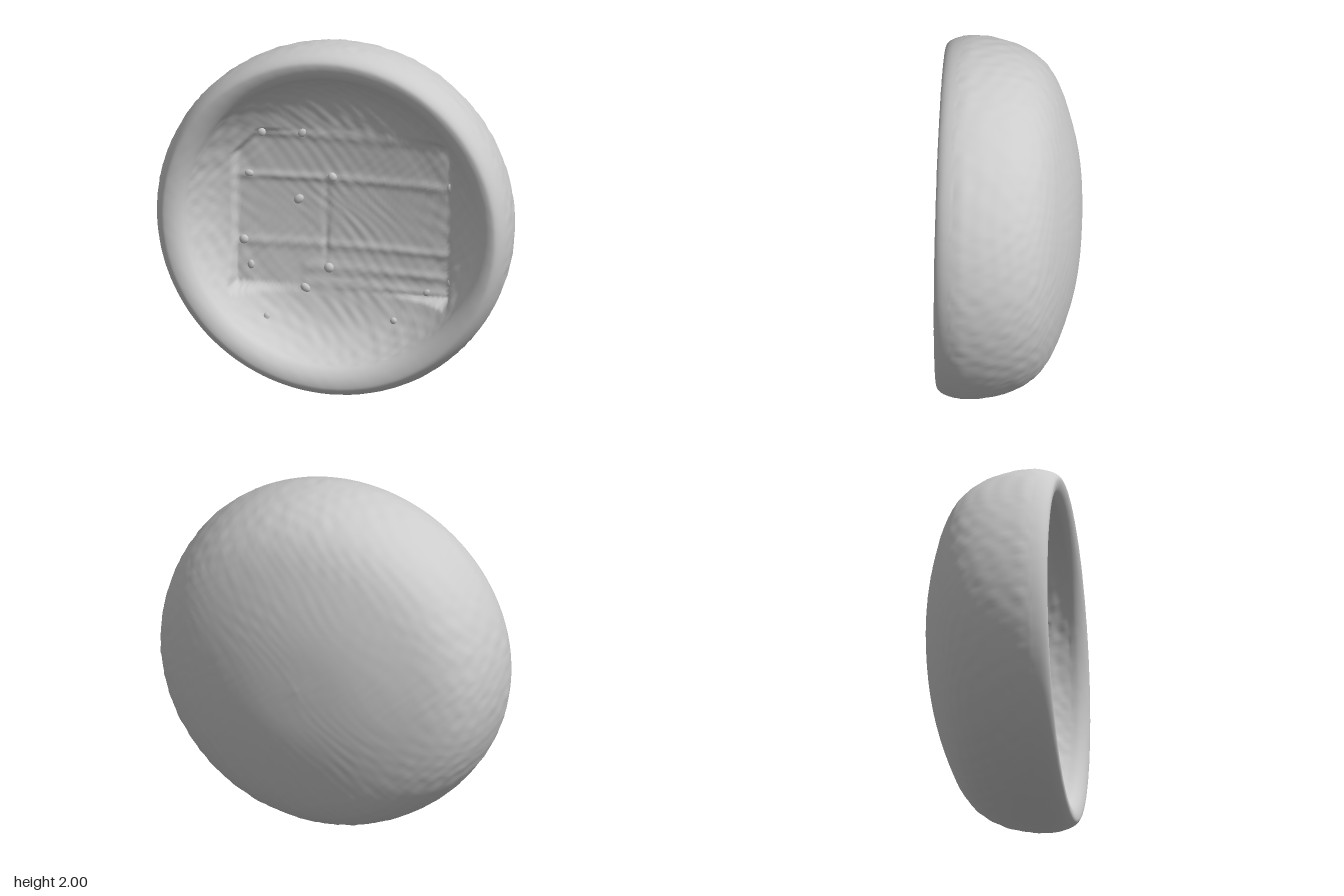
import * as THREE from 'three';
import { mergeVertices } from 'three/addons/utils/BufferGeometryUtils.js';

const TILT = 0.445;
const CENTRE = -0.027;
const { smoothstep } = THREE.MathUtils;

// Small irregular bumps that roughen the surfaces
const bumps = (x, y, z) =>
  Math.sin(47 * x + 3 * Math.sin(9 * y)) * Math.sin(43 * y + 3 * Math.sin(8 * x + 5 * z)) * Math.sin(39 * z + 1) +
  0.5 * Math.sin(83 * x + 2 * Math.sin(13 * y)) * Math.sin(77 * y + 1);

const ridge = (v, at, width) => Math.exp(-(((v - at) / width) ** 2));

// Slightly dished floor of the rectangular recess
const floorDepth = (x, y) => -0.12 + 0.12 * (x * x + y * y);

// 1 inside the recess (with one cut upper corner), 0 outside
function recessMask(x, y) {
  const inset = Math.min(x + 0.6, 0.62 - x, y + 0.47, 0.43 - y, (x - y + 0.89) * 0.7);
  return smoothstep(inset, -0.012, 0.012);
}

// Crossing seams and soft ribs standing up from the recess
function ribHeight(x, y) {
  let h = 0;
  for (const at of [0.41, 0.16, -0.22]) h += ridge(y, at, 0.022);
  const right = smoothstep(x, -0.25, -0.2);
  for (const at of [-0.35, -0.44]) h += right * ridge(y, at, 0.022);
  h -= 0.8 * ridge(x, -0.1, 0.018) * smoothstep(0.2 - Math.abs(y + 0.08), -0.1, 0.05);
  return 0.008 * h;
}

// Thick shell: domed outside, rounded rim, hollow with a rectangular recess
function shellGeometry() {
  const outer = [
    [0, -0.525], [0.25, -0.512], [0.45, -0.477], [0.65, -0.415], [0.78, -0.355], [0.872, -0.28],
    [0.937, -0.18], [0.977, -0.06], [0.993, 0.06], [0.991, 0.13], [0.973, 0.2]
  ];
  const rim = [[0.945, 0.238], [0.912, 0.243], [0.87, 0.228], [0.835, 0.195]];
  const inner = [
    [0.815, 0.145], [0.785, 0.09], [0.725, 0.02], [0.64, -0.04], [0.5, -0.085], [0.3, -0.11], [0.15, -0.118], [0, -0.12]
  ];
  const points = [...outer, ...rim, ...inner].map(([r, d]) => new THREE.Vector2(r, d));
  const profile = new THREE.SplineCurve(points).getPoints(180);
  profile[0].x = profile[profile.length - 1].x = 0;
  const rings = profile.length;

  let geo = new THREE.LatheGeometry(profile, 220);
  geo.rotateX(Math.PI / 2);
  geo.deleteAttribute('uv');
  geo.deleteAttribute('normal');
  // Press the recess into the inner surface
  const q = geo.attributes.position;
  for (let i = 0; i < q.count; i++) {
    if (i % rings < rings * 0.62) continue;
    const x = q.getX(i), y = q.getY(i), z = q.getZ(i);
    const mask = z < 0.15 ? recessMask(x, y) : 0;
    const target = Math.min(z, floorDepth(x, y)) + ribHeight(x, y);
    q.setZ(i, THREE.MathUtils.lerp(z, target, mask));
  }
  geo = mergeVertices(geo, 1e-5);
  geo.computeVertexNormals();

  // Roughen: strongest on the outer sides, calm on the back and the rim
  const p = geo.attributes.position, n = geo.attributes.normal;
  for (let i = 0; i < p.count; i++) {
    const x = p.getX(i), y = p.getY(i), z = p.getZ(i);
    const back = 0.0008 + 0.0035 * Math.hypot(x, y) ** 4;
    const amount = z > 0.16 ? 0.0005 : z < -0.15 ? back : 0.003;
    const k = amount * bumps(x, y, z);
    p.setXYZ(i, x + n.getX(i) * k, (y + n.getY(i) * k) * 1.003, z + n.getZ(i) * k);
  }
  geo.computeVertexNormals();
  return geo;
}

export function createModel() {
  const model = new THREE.Group();
  model.name = 'bowl';
  const body = new THREE.Group();
  body.name = 'tiltedBody';
  body.rotation.y = TILT;
  body.position.set(CENTRE * Math.cos(TILT), 1.003, -CENTRE * Math.sin(TILT));
  model.add(body);

  const grey = new THREE.MeshStandardMaterial({ color: 0xcccccc });
  const shell = new THREE.Mesh(shellGeometry(), grey);
  shell.name = 'shell';
  body.add(shell);

  // Small rough studs at the seam ends: x, height, depth, size
  const studs = [
    [-0.45, 1.42, -0.05, 1.1], [-0.27, 1.42, -0.09, 1], [0.38, 1.42, -0.08, 1],
    [-0.53, 1.17, -0.075, 0.9], [-0.13, 1.17, -0.11, 1.2], [0.5, 1.17, -0.07, 1],
    [0.62, 1.17, -0.01, 1], [-0.3, 1.03, -0.11, 1.1], [-0.55, 0.79, -0.065, 1.2],
    [0.38, 0.79, -0.1, 0.9], [0.57, 0.8, -0.04, 1.3], [-0.51, 0.65, -0.06, 0.9],
    [-0.14, 0.65, -0.1, 1.3], [0.38, 0.56, -0.07, 0.9], [0.51, 0.63, -0.055, 1.1],
    [-0.25, 0.53, -0.085, 1.1], [0.24, 0.4, -0.02, 0.9], [-0.38, 0.38, 0.02, 0.9]
  ];
  const studGeometry = new THREE.IcosahedronGeometry(0.022, 1);
  studs.forEach(([x, y, d, size], i) => {
    const stud = new THREE.Mesh(studGeometry, grey);
    stud.name = 'stud';
    stud.position.set((x - d * Math.sin(TILT)) / Math.cos(TILT) - CENTRE, y - 1, d);
    stud.scale.set(size * (1 + 0.3 * (i % 2)), size, size * 0.7);
    stud.rotation.z = i;
    body.add(stud);
  });

  return model;
}
